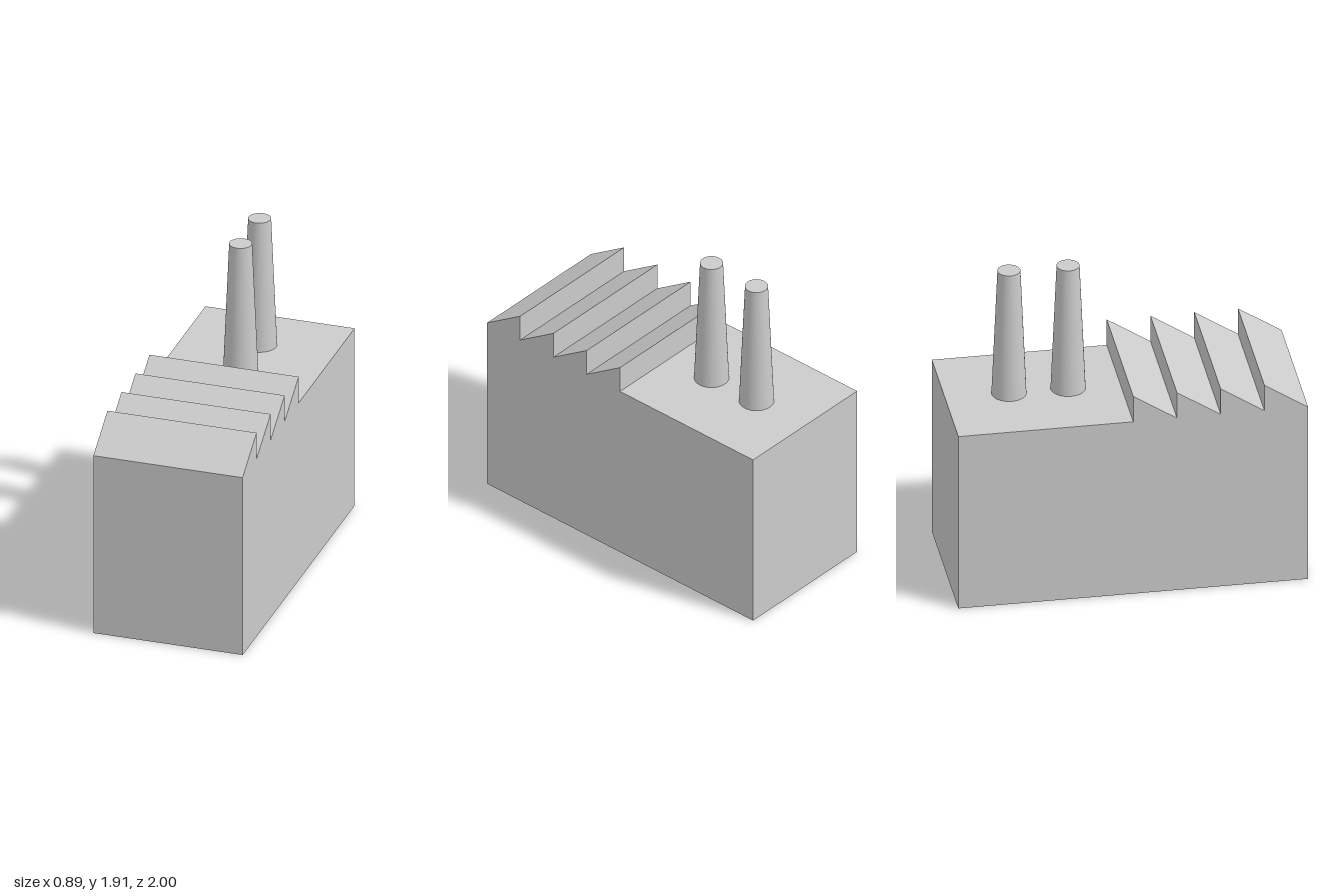
import * as THREE from 'three';

const WIDTH = 0.886, ROOF = 1.115, PEAK = 1.28, TOP = 1.91;

export function createModel() {
  const model = new THREE.Group();
  model.name = 'factory';
  const material = new THREE.MeshStandardMaterial({ color: 0xcccccc });

  // Building: side profile (z, y) with a sawtooth roof on the front half
  const profile = new THREE.Shape();
  profile.moveTo(-1, 0);
  profile.lineTo(1, 0);
  profile.lineTo(1, ROOF);
  for (let i = 1; i <= 4; i++) {
    const z = 1 - i * 0.25;
    profile.lineTo(z, PEAK);
    profile.lineTo(z, ROOF);
  }
  profile.lineTo(-1, ROOF);
  profile.closePath();
  const hall = new THREE.ExtrudeGeometry(profile, { depth: WIDTH, bevelEnabled: false });
  hall.rotateY(-Math.PI / 2).translate(WIDTH / 2, 0, 0);
  const building = new THREE.Mesh(hall, material);
  building.name = 'building';
  model.add(building);

  // Two tapered chimneys on the flat rear roof
  const stack = new THREE.CylinderGeometry(0.065, 0.099, TOP - ROOF, 48);
  [['frontChimney', -0.297], ['rearChimney', -0.635]].forEach(([name, z]) => {
    const chimney = new THREE.Mesh(stack, material);
    chimney.name = name;
    chimney.position.set(0, (TOP + ROOF) / 2, z);
    model.add(chimney);
  });

  return model;
}
